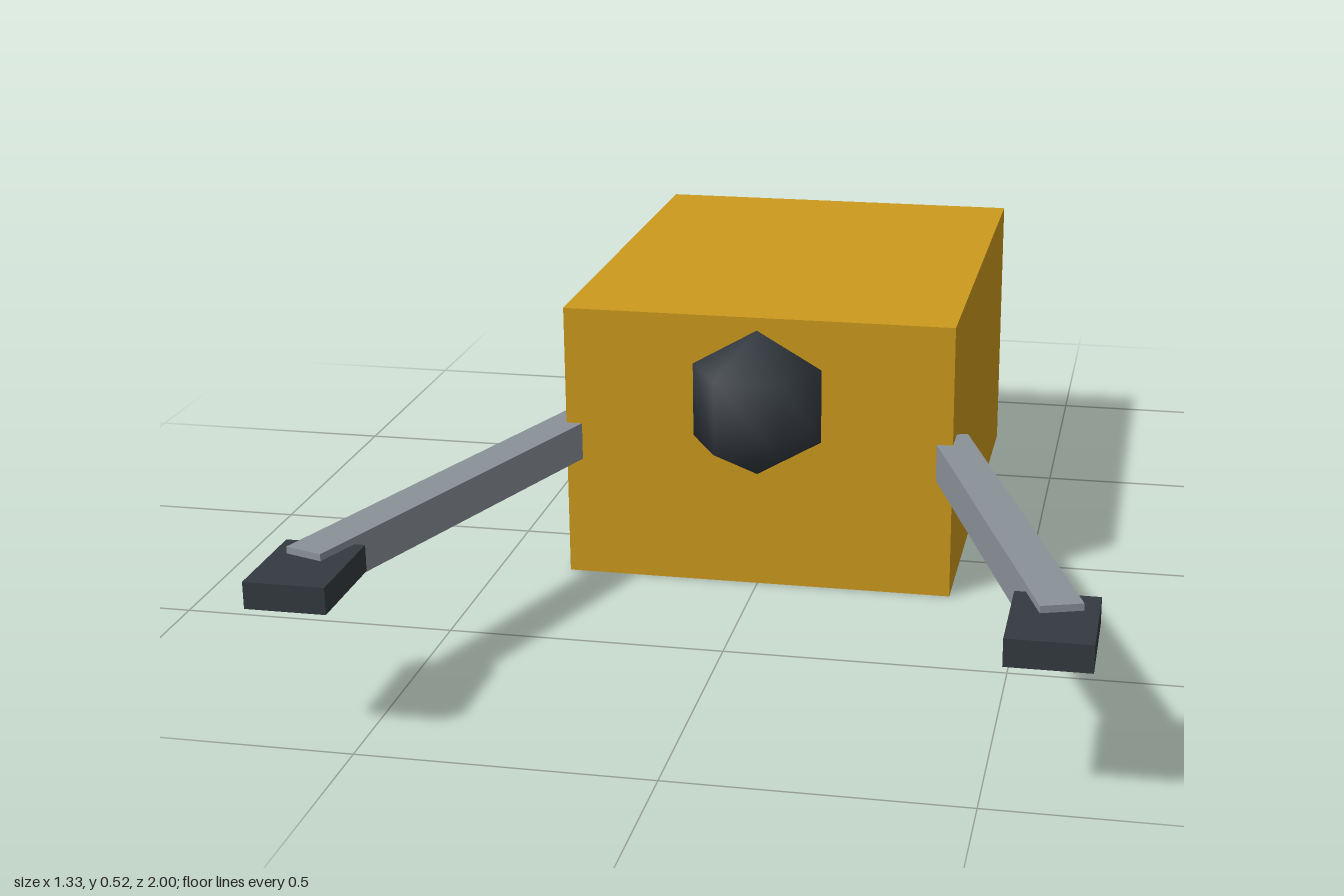
import * as THREE from 'three';

const material = (name, color) => {
  const m = new THREE.MeshStandardMaterial({ color });
  m.name = name;
  return m;
};

export function createModel() {
  const yellow = material('yellow paint', 0xcc9a1c);
  const grey = material('grey metal', 0x8a9299);
  const dark = material('dark rubber', 0x343a40);
  const brass = material('brass', 0xb5a042);

  const model = new THREE.Group();
  model.name = 'robot';
  const add = (name, geometry, mat, x, y, z) => {
    const mesh = new THREE.Mesh(geometry, mat);
    mesh.name = name;
    mesh.position.set(x, y, z);
    model.add(mesh);
    return mesh;
  };

  // Box body
  add('body', new THREE.BoxGeometry(0.727, 0.52, 0.937), yellow, 0, 0.26, -0.288);

  // Faceted dome, half sunk in the front face
  add('frontDome', new THREE.SphereGeometry(0.139, 6, 3), dark, 0, 0.357, 0.18);

  // Splayed arms with flat grippers
  for (const [side, s] of [['left', 1], ['right', -1]]) {
    const arm = add(side + 'Arm', new THREE.BoxGeometry(0.07, 0.07, 0.807), grey, s * 0.48, 0.262, 0.502);
    arm.rotation.y = s * THREE.MathUtils.degToRad(18.8);
    add(side + 'Gripper', new THREE.BoxGeometry(0.136, 0.046, 0.186), dark, s * 0.599, 0.262, 0.907);
  }

  // Three-sided rear nozzle, one corner towards +x, narrowing backwards
  const prism = (rBack, rFront, length) =>
    new THREE.CylinderGeometry(rBack, rFront, length, 3, 1, false, Math.PI / 2).rotateX(-Math.PI / 2);
  add('nozzle', prism(0.067, 0.091, 0.19), dark, 0, 0.26, -0.85);
  add('nozzleTip', prism(0.068, 0.068, 0.057), brass, 0, 0.26, -0.9715);

  return model;
}
